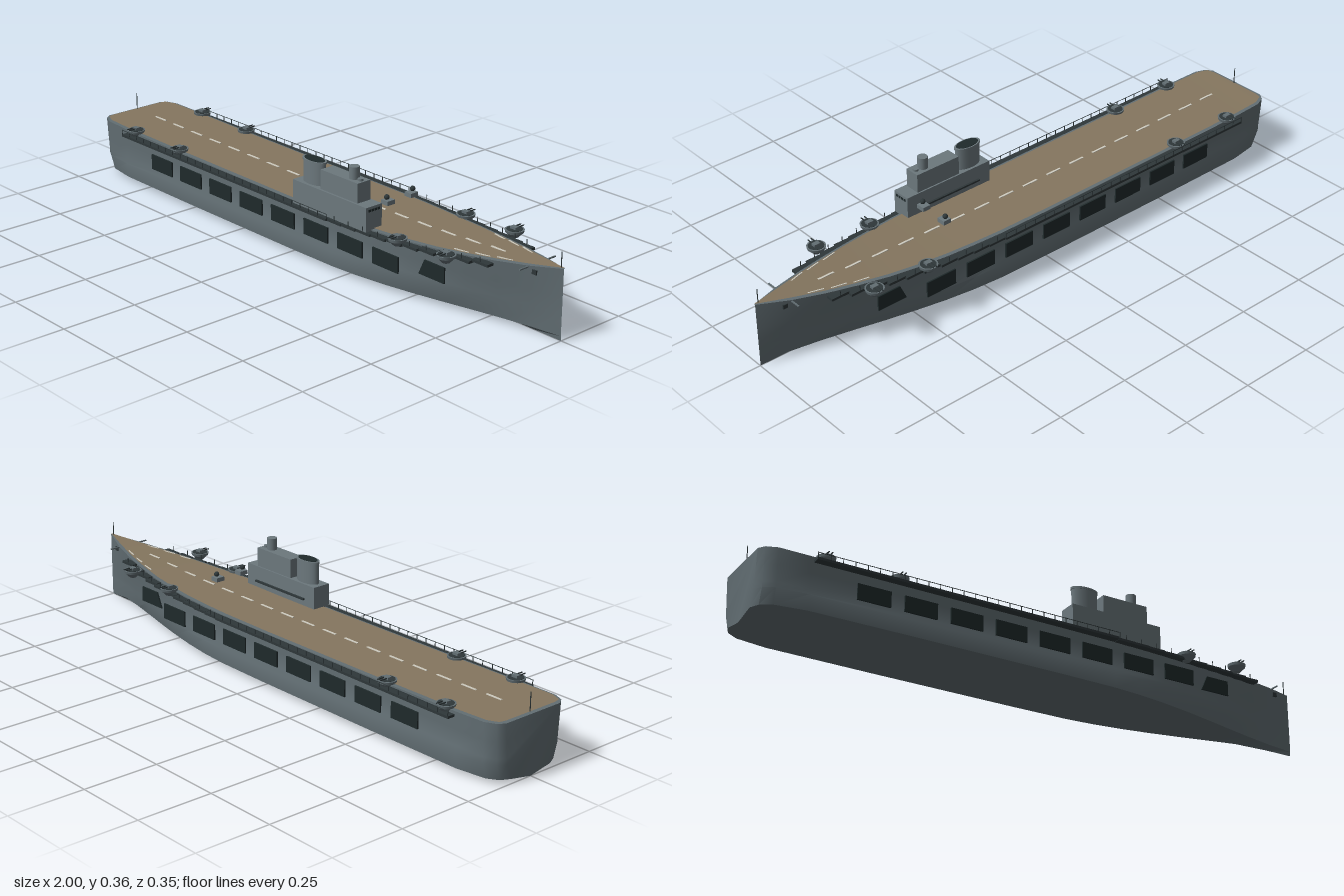
import * as THREE from 'three';
import { mergeGeometries, toCreasedNormals } from 'three/addons/utils/BufferGeometryUtils.js';

const mat = (name, color) => {
  const m = new THREE.MeshStandardMaterial({ color });
  m.name = name;
  return m;
};

// Hull stations: x, half widths at top, waist, bulge and chine, then deck height
const STATIONS = [
  [-1, 0.11, 0.1, 0.1, 0.08, 0.192],
  [-0.985, 0.132, 0.125, 0.125, 0.11, 0.192],
  [-0.95, 0.147, 0.143, 0.143, 0.132, 0.191],
  [-0.85, 0.15, 0.146, 0.152, 0.147, 0.189],
  [-0.5, 0.15, 0.146, 0.154, 0.15, 0.185],
  [0, 0.15, 0.146, 0.154, 0.15, 0.182],
  [0.2, 0.148, 0.144, 0.152, 0.147, 0.182],
  [0.3, 0.144, 0.139, 0.146, 0.139, 0.183],
  [0.4, 0.137, 0.131, 0.135, 0.125, 0.184],
  [0.5, 0.126, 0.117, 0.119, 0.106, 0.186],
  [0.6, 0.112, 0.098, 0.099, 0.084, 0.19],
  [0.7, 0.093, 0.074, 0.073, 0.06, 0.196],
  [0.8, 0.07, 0.048, 0.047, 0.037, 0.203],
  [0.9, 0.041, 0.024, 0.022, 0.017, 0.211],
  [1, 0.002, 0.002, 0.002, 0.002, 0.221],
];

// Value of one station column at any x
function at(x, col) {
  let i = 0;
  while (i < STATIONS.length - 2 && x > STATIONS[i + 1][0]) i++;
  const a = STATIONS[i], b = STATIONS[i + 1];
  return THREE.MathUtils.lerp(a[col], b[col], (x - a[0]) / (b[0] - a[0]));
}

// Skin over rings of points; each ring runs from +z to -z
function loft(rings, capStart) {
  const n = rings[0].length, idx = [];
  for (let i = 0; i < rings.length - 1; i++) {
    for (let j = 0; j < n - 1; j++) {
      const a = i * n + j, b = a + n;
      idx.push(a, a + 1, b, a + 1, b + 1, b);
    }
  }
  if (capStart) for (let j = 1; j < n - 1; j++) idx.push(0, j + 1, j);
  const g = new THREE.BufferGeometry();
  g.setAttribute('position', new THREE.Float32BufferAttribute(rings.flat(2), 3));
  g.setIndex(idx);
  return toCreasedNormals(g, 0.6);
}

// Flat sheet across the ship at deck level
function deckSheet(inset, lift) {
  return loft(STATIONS.map(([x, w, , , , y], i) => {
    const half = Math.max(w - inset, 0.001);
    const px = i === 0 ? x + inset : x;
    return [[px, y + lift, -half], [px, y + lift, half]];
  }), false);
}

function boxGeo(sx, sy, sz, x, y, z, ry = 0) {
  return new THREE.BoxGeometry(sx, sy, sz).rotateY(ry).translate(x, y, z);
}

function cylGeo(rTop, rBottom, h, x, y, z, sides = 20) {
  return new THREE.CylinderGeometry(rTop, rBottom, h, sides).translate(x, y, z);
}

export function createModel() {
  const ship = new THREE.Group();
  ship.name = 'aircraftCarrier';
  const hullGrey = mat('hullGrey', 0x626e73);
  const islandGrey = mat('islandGrey', 0x6c787d);
  const deckBrown = mat('deckBrown', 0x85765f);
  const darkGrey = mat('darkGrey', 0x2e3739);
  const opening = mat('openingDark', 0x1f2a2b);
  const white = mat('markingWhite', 0xcfccc0);

  const add = (name, geos, material, parent = ship) => {
    const list = Array.isArray(geos) ? geos : [geos];
    const mesh = new THREE.Mesh(list.length > 1 ? mergeGeometries(list) : list[0], material);
    mesh.name = name;
    parent.add(mesh);
    return mesh;
  };

  // Hull with bulged sides and a shallow V bottom
  const rings = STATIONS.map(([x, top, waist, bulge, chine, y]) => {
    const side = [[top, y], [(top + waist) / 2, 0.135], [waist, 0.083], [bulge, 0.065], [chine, 0.015]];
    return [
      ...side.map(([w, h]) => [x, h, w]),
      [x, 0, 0],
      ...side.reverse().map(([w, h]) => [x, h, -w]),
    ];
  });
  add('hull', loft(rings, true), hullGrey);
  add('deckRim', deckSheet(0, 0), hullGrey);
  add('flightDeck', deckSheet(0.01, 0.003), deckBrown);

  // Dashed centre line and bow edge lines
  const marks = [];
  for (let i = 0; i < 17; i++) {
    const x = -0.85 + i * 0.1;
    marks.push(boxGeo(0.058, 0.002, 0.007, x, at(x, 5) + 0.004, 0));
  }
  for (const s of [1, -1]) {
    for (const x of [0.68, 0.75, 0.82]) {
      const slope = Math.atan2(at(x + 0.03, 1) - at(x - 0.03, 1), 0.06);
      marks.push(boxGeo(0.05, 0.002, 0.004, x, at(x, 5) + 0.004, s * (at(x, 1) - 0.017), -s * slope));
    }
  }
  add('deckMarkings', marks, white);

  // Hangar openings along both sides, the foremost one slanted
  const slant = new THREE.Shape([[-0.055, -0.025], [0.05, -0.025], [0.05, 0.025], [-0.032, 0.025]]
    .map(([x, y]) => new THREE.Vector2(x, y)));
  for (const s of [1, -1]) {
    const plates = [];
    for (let i = 0; i < 8; i++) {
      const x = -0.645 + i * 0.155;
      plates.push(boxGeo(0.11, 0.052, 0.005, x, 0.113, s * 0.153));
    }
    add('hangarOpenings', plates, opening);
    const g = new THREE.ExtrudeGeometry(slant, { depth: 0.005, bevelEnabled: false });
    add('forwardOpening', g.translate(0.605, 0.123, s * 0.122 - 0.0025), opening);
  }

  // Catwalks below the deck edge with railings, stepped in along the bow
  for (const s of [1, -1]) {
    const walk = [boxGeo(1.04, 0.008, 0.03, -0.32, 0.175, s * 0.16)];
    const rail = [boxGeo(1.04, 0.0015, 0.0015, -0.32, 0.194, s * 0.174)];
    for (let i = 0; i < 27; i++) rail.push(boxGeo(0.002, 0.02, 0.002, -0.838 + i * 0.04, 0.185, s * 0.174));
    for (let i = 0; i < 10; i++) {
      const x = 0.23 + i * 0.06;
      const z = s * (at(x, 1) + 0.01);
      const y = at(x, 5) - 0.008;
      walk.push(boxGeo(0.062, 0.008, 0.025, x, y, z));
      rail.push(boxGeo(0.002, 0.02, 0.002, x, y + 0.01, z + s * 0.011));
    }
    add('catwalk', walk, darkGrey);
    add('railing', rail, darkGrey);
  }

  // Gun tubs with twin barrels
  for (const s of [1, -1]) {
    for (const x of [-0.8, -0.56, 0.48, 0.68]) {
      const tub = new THREE.Group();
      tub.name = 'gunTub';
      tub.position.set(x, at(x, 5), s * 0.143);
      add('tub', [
        cylGeo(0.03, 0.028, 0.009, 0, 0.006, 0),
        cylGeo(0.027, 0.012, 0.016, 0, -0.0065, 0),
      ], hullGrey, tub);
      add('tubFloor', cylGeo(0.025, 0.025, 0.002, 0, 0.0105, 0), darkGrey, tub);
      add('gunMount', boxGeo(0.022, 0.01, 0.016, 0, 0.014, 0), hullGrey, tub);
      const barrels = [-0.006, 0.006].map((dx) => boxGeo(0.003, 0.003, 0.03, dx, 0.016, s * 0.018));
      add('gunBarrels', barrels, darkGrey, tub);
      ship.add(tub);
    }
  }

  // Island: base, bridge, director tower and funnel
  const island = new THREE.Group();
  island.name = 'island';
  ship.add(island);
  add('islandBase', boxGeo(0.33, 0.078, 0.064, 0.2, 0.219, 0.13), islandGrey, island);
  add('bridge', boxGeo(0.165, 0.064, 0.052, 0.2375, 0.289, 0.129), islandGrey, island);
  add('directorTower', cylGeo(0.0165, 0.0165, 0.04, 0.277, 0.34, 0.129), islandGrey, island);
  add('bridgeTopPost', cylGeo(0.009, 0.009, 0.008, 0.305, 0.324, 0.129), islandGrey, island);
  const oval = (r, h, y) => new THREE.CylinderGeometry(r, r, h, 28).scale(1, 1, 0.5).translate(0.099, y, 0.129);
  add('funnel', oval(0.046, 0.075, 0.295), islandGrey, island);
  add('funnelRim', oval(0.049, 0.007, 0.33), islandGrey, island);
  add('funnelMouth', oval(0.041, 0.002, 0.334), opening, island);
  const panes = [];
  for (let i = 0; i < 4; i++) panes.push(boxGeo(0.002, 0.008, 0.009, 0.365, 0.246, 0.112 + i * 0.012));
  add('bridgeWindows', panes, opening, island);
  add('islandWalkway', boxGeo(0.24, 0.006, 0.008, 0.2, 0.208, 0.095), darkGrey, island);

  // Raised directors either side of the centre line
  for (const s of [1, -1]) {
    add('directorBase', boxGeo(0.028, 0.014, 0.03, 0.34, 0.243, s * 0.049), islandGrey);
    add('directorHead', new THREE.SphereGeometry(0.0085, 16, 12).translate(0.34, 0.259, s * 0.054), darkGrey);
  }

  // Staffs, bow spar and anchors
  add('bowStaff', cylGeo(0.0015, 0.0015, 0.05, 0.988, 0.244, 0, 8), darkGrey);
  add('sternStaff', cylGeo(0.0015, 0.0015, 0.06, -0.987, 0.222, 0, 8), darkGrey);
  add('bowSpar', boxGeo(0.004, 0.004, 0.15, 0.9, 0.207, 0), hullGrey);
  for (const s of [1, -1]) {
    add('anchor', boxGeo(0.016, 0.014, 0.005, 0.92, 0.195, s * 0.034), darkGrey);
  }
  return ship;
}
